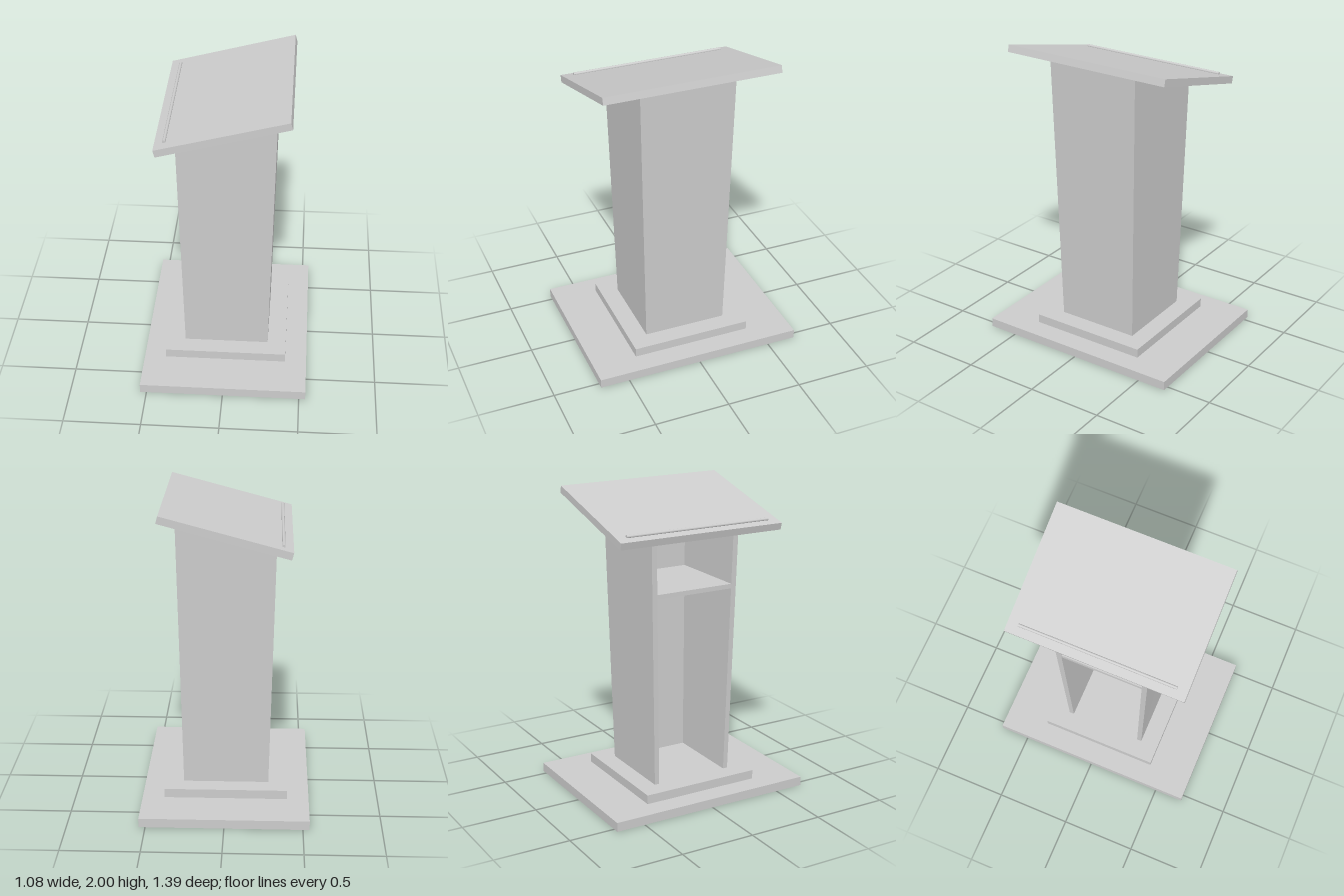
import * as THREE from 'three';

const material = new THREE.MeshStandardMaterial({ color: 0xcccccc, flatShading: true });
const smooth = new THREE.MeshStandardMaterial({ color: 0xcccccc });

const TILT = THREE.MathUtils.degToRad(15);
const FLOOR = 0.12;    // top of the plinth
const HALF = 0.278;    // half width of the body at its foot
const FLARE = 1.13;    // widening towards the top
const WALL = 0.032;
const undersideY = (x) => 1.844 + x * Math.tan(TILT);

function box(name, w, h, d, x, y, z) {
  const mesh = new THREE.Mesh(new THREE.BoxGeometry(w, h, d), material);
  mesh.name = name;
  mesh.position.set(x, y, z);
  return mesh;
}

// Wall given by its footprint; the top flares out and follows the sloping desk
function wall(name, x0, x1, z0, z1) {
  const geo = new THREE.BoxGeometry(1, 1, 1);
  const p = geo.attributes.position;
  for (let i = 0; i < p.count; i++) {
    const top = p.getY(i) > 0;
    const s = top ? FLARE : 1;
    const x = (p.getX(i) > 0 ? x1 : x0) * s;
    const z = (p.getZ(i) > 0 ? z1 : z0) * s;
    p.setXYZ(i, x, top ? undersideY(x) : FLOOR, z);
  }
  geo.computeVertexNormals();
  const mesh = new THREE.Mesh(geo, material);
  mesh.name = name;
  return mesh;
}

export function createModel() {
  const model = new THREE.Group();
  model.name = 'lectern';

  // Stepped base
  model.add(box('basePlate', 1.084, 0.06, 1.39, 0, 0.03, 0));
  model.add(box('plinth', 0.8, 0.06, 0.8, 0, 0.09, 0));

  // Three-walled body, open on the speaker's side (-x)
  const inner = HALF - WALL;
  model.add(wall('leftWall', -HALF, HALF, inner, HALF));
  model.add(wall('rightWall', -HALF, HALF, -HALF, -inner));
  model.add(wall('closedWall', inner, HALF, -inner, inner));

  // Shelf inside the body
  model.add(box('shelf', 0.58, 0.03, 0.55, -0.015, 1.385, 0));

  // Sloping desk top with a round stop for papers
  const desk = box('deskTop', 0.835, 0.047, 1.152, -0.004, 1.868, 0);
  desk.rotation.z = TILT;
  model.add(desk);

  const stop = new THREE.Mesh(new THREE.CylinderGeometry(0.01, 0.01, 1.016, 16), smooth);
  stop.name = 'paperStop';
  stop.rotation.x = Math.PI / 2;
  stop.position.set(-0.353, 1.804, 0);
  model.add(stop);

  return model;
}
